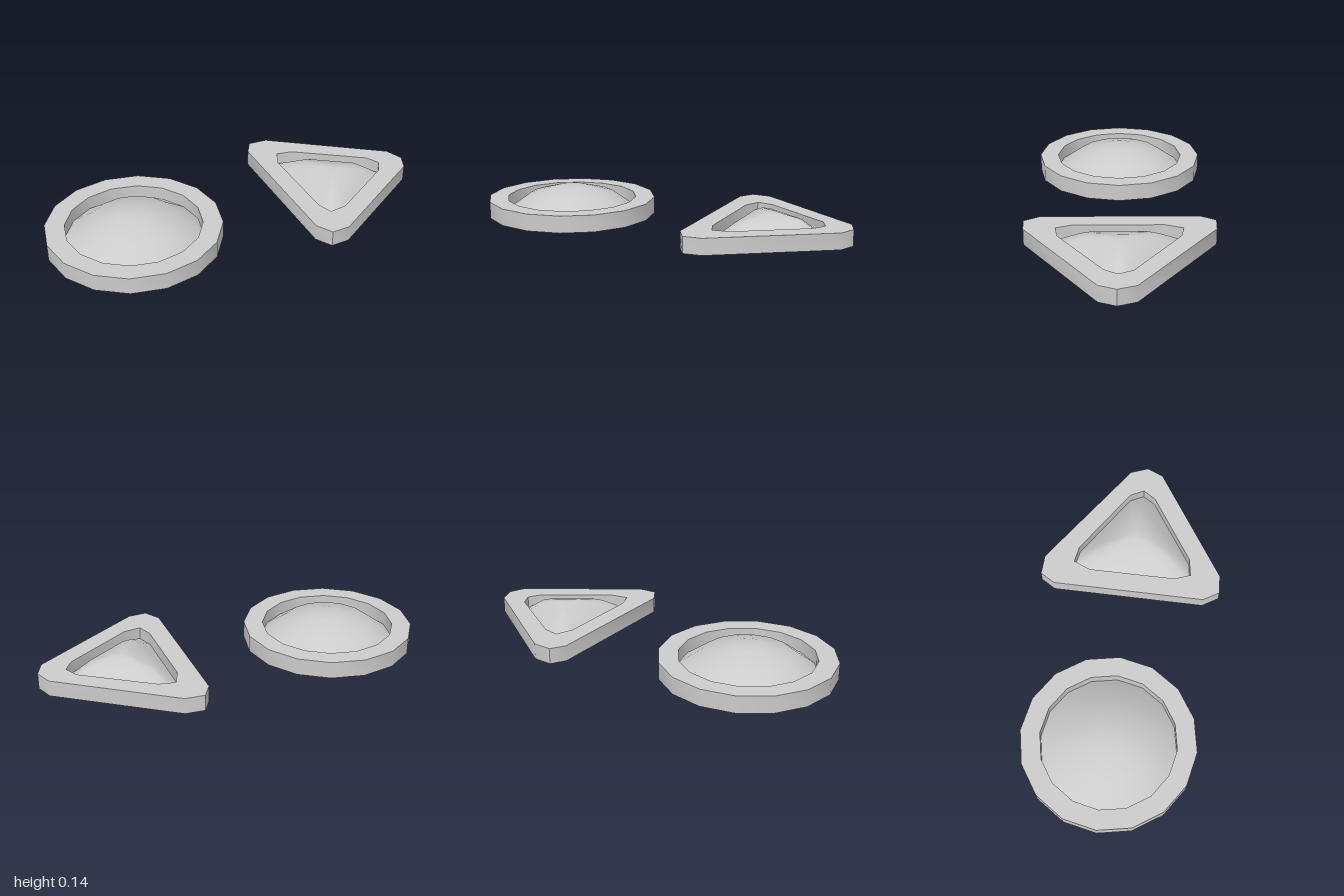
import * as THREE from 'three';
import { toCreasedNormals } from 'three/addons/utils/BufferGeometryUtils.js';

const material = new THREE.MeshStandardMaterial({ color: 0xcccccc });
const domeMaterial = new THREE.MeshStandardMaterial({ color: 0xcccccc, side: THREE.DoubleSide });

// Outlines are loops of [x, z] points seen from above
const circle = (cx, r, n = 16) => Array.from({ length: n }, (_, i) => {
  const a = (i / n) * Math.PI * 2;
  return [cx + r * Math.cos(a), r * Math.sin(a)];
});

// Flat frame: outer outline with a hole (wound the other way), extruded upwards
function makeFrame(name, outer, inner, height) {
  const toPoints = (loop) => loop.map(([x, z]) => new THREE.Vector2(x, -z));
  const shape = new THREE.Shape(toPoints(outer));
  shape.holes.push(new THREE.Path(toPoints(inner).reverse()));
  const geometry = new THREE.ExtrudeGeometry(shape, { depth: height, bevelEnabled: false });
  geometry.rotateX(-Math.PI / 2);
  const mesh = new THREE.Mesh(toCreasedNormals(geometry, 0.61), material);
  mesh.name = name;
  return mesh;
}

// Thin smooth dome: the outline shrinks towards its centre through [scale, y] levels
function makeDome(name, outline, cx, levels, topY) {
  const n = outline.length;
  const positions = [];
  const index = [];
  for (const [s, y] of levels) {
    for (const [x, z] of outline) positions.push(cx + (x - cx) * s, y, z * s);
  }
  positions.push(cx, topY, 0);
  const apex = levels.length * n;
  for (let i = 0; i < n; i++) {
    const j = (i + 1) % n;
    for (let k = 0; k < levels.length - 1; k++) {
      const a = k * n + i, b = k * n + j;
      index.push(a, a + n, b, b, a + n, b + n);
    }
    index.push(apex, apex - n + j, apex - n + i);
  }
  const geometry = new THREE.BufferGeometry();
  geometry.setAttribute('position', new THREE.Float32BufferAttribute(positions, 3));
  geometry.setIndex(index);
  geometry.computeVertexNormals();
  const mesh = new THREE.Mesh(geometry, domeMaterial);
  mesh.name = name;
  return mesh;
}

export function createModel() {
  const model = new THREE.Group();
  model.name = 'domedButtons';

  // Round button
  const round = new THREE.Group();
  round.name = 'roundButton';
  round.position.z = 0.004;
  const roundX = -0.555;
  const roundInner = circle(roundX, 0.345);
  round.add(
    makeFrame('roundFrame', circle(roundX, 0.445), roundInner, 0.088),
    makeDome('roundDome', roundInner, roundX, [[1, 0.018], [0.65, 0.105], [0.25, 0.143]], 0.143),
  );

  // Triangular button with blunted corners, pointing to +x
  const triangle = new THREE.Group();
  triangle.name = 'triangleButton';
  triangle.position.z = 0.002;
  const outer = [
    [0.26, -0.4], [0.305, -0.475], [0.405, -0.47],
    [0.965, -0.08], [1, 0.01], [0.965, 0.095],
    [0.41, 0.465], [0.315, 0.472], [0.265, 0.39],
  ];
  const inner = [
    [0.36, -0.22], [0.395, -0.31], [0.48, -0.295],
    [0.825, -0.065], [0.86, 0.005], [0.82, 0.07],
    [0.485, 0.295], [0.395, 0.31], [0.365, 0.23],
  ];
  triangle.add(
    makeFrame('triangleFrame', outer, inner, 0.083),
    makeDome('triangleDome', inner, 0.582, [[1, 0.018], [0.6, 0.091], [0.19, 0.117]], 0.118),
  );

  model.add(round, triangle);
  return model;
}
